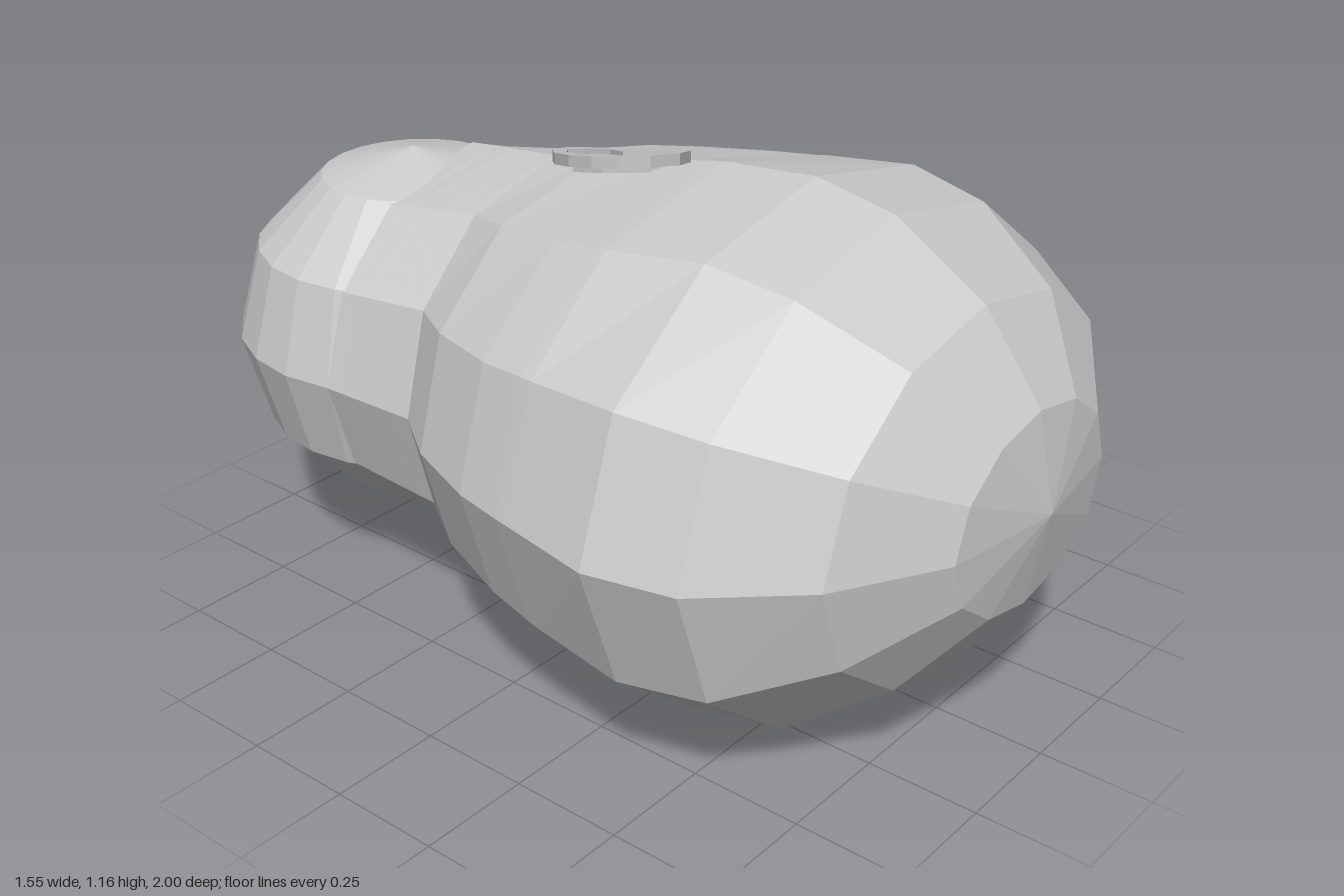
import * as THREE from 'three';
import { ConvexGeometry } from 'three/addons/geometries/ConvexGeometry.js';

const MID = 0.575; // height of the symmetry plane: the head lies on its side
const mat = new THREE.MeshStandardMaterial({ color: 0xcccccc, flatShading: true, side: THREE.DoubleSide });

function add(group, name, geometry) {
  const mesh = new THREE.Mesh(geometry, mat);
  mesh.name = name;
  group.add(mesh);
  return mesh;
}

// Half outline of the skull from back to face: [x, half width], unit sized
const SKULL = [[-1, 0], [-0.86, 0.51], [-0.49, 0.87], [0, 1], [0.5, 0.87], [0.86, 0.54], [0.93, 0.27], [1, 0]];

function skullRing(z, back, front, width) {
  const c = (back + front) / 2, r = (front - back) / 2;
  return SKULL.map(([x, h]) => [c + x * r, h * width, z]);
}

// Ring with a plain back and a shaped face (side, cheek, inner, middle)
function faceRing(z, back, width, ...face) {
  const plain = [[back, 0], [back * 0.89, width * 0.5], [back * 0.6, width * 0.86], [-0.08, width]];
  return [...plain, ...face].map(([x, h]) => [x, h, z]);
}

// Straight jaw sides from under the nose to the sloping jaw edge
const JAW_TOP = faceRing(-0.23, -0.55, 0.45, [0.23, 0.39], [0.45, 0.27]);
const JAW_EDGE = [[-0.56, 0, -0.52], [-0.5, 0.2, -0.52], [-0.34, 0.35, -0.52], [-0.04, 0.405, -0.52],
  [0.15, 0.31, -0.59], [0.33, 0.2, -0.655]];

// Ring across the jaw: only the inner and middle points follow the lips
function jawRing(z, inner, middle) {
  const t = (-0.23 - z) / 0.45;
  const sides = JAW_TOP.map((p, j) => p.map((v, k) => v + (JAW_EDGE[j][k] - v) * t));
  return [...sides, [...inner, z], [middle, 0, z]];
}

// Loft of mirrored half rings running from crown to chin
function headGeometry() {
  const rings = [
    skullRing(0.96, -0.33, 0.22, 0.21),
    skullRing(0.83, -0.56, 0.44, 0.39),
    skullRing(0.64, -0.735, 0.56, 0.53),
    skullRing(0.45, -0.78, 0.62, 0.56),
    faceRing(0.23, -0.74, 0.54, [0.28, 0.455], [0.51, 0.315], [0.59, 0.16], [0.63, 0]),
    faceRing(0.2, -0.735, 0.535, [0.278, 0.45], [0.485, 0.305], [0.515, 0.2], [0.6, 0]),
    faceRing(0.08, -0.71, 0.51, [0.27, 0.435], [0.475, 0.295], [0.535, 0.18], [0.59, 0]),
    faceRing(-0.1, -0.64, 0.48, [0.25, 0.41], [0.46, 0.285], [0.59, 0.13], [0.63, 0]),
    jawRing(-0.23, [0.6, 0.15], 0.66),
    // lips and chin
    jawRing(-0.3, [0.61, 0.17], 0.7),
    jawRing(-0.33, [0.595, 0.18], 0.645),
    jawRing(-0.38, [0.6, 0.17], 0.68),
    jawRing(-0.44, [0.585, 0.19], 0.645),
    jawRing(-0.54, [0.585, 0.18], 0.66),
    jawRing(-0.62, [0.57, 0.17], 0.645),
    jawRing(-0.68, [0.5, 0.13], 0.57),
  ];
  const n = 2 * SKULL.length - 2;
  const pos = [], idx = [];
  for (const ring of rings) {
    const loop = [...ring, ...ring.slice(1, -1).reverse().map(([x, h, z]) => [x, -h, z])];
    for (const [x, h, z] of loop) pos.push(x, MID + h, z);
  }
  const crown = pos.length / 3, throat = crown + 1, last = (rings.length - 1) * n;
  pos.push(-0.05, MID, 1, 0.29, MID, -0.665);
  for (let j = 0; j < n; j++) {
    const k = (j + 1) % n;
    idx.push(crown, k, j, throat, last + j, last + k);
    for (let i = 0; i < rings.length - 1; i++) {
      const a = i * n + j, b = i * n + k;
      idx.push(a, b, a + n, b, b + n, a + n);
    }
  }
  const g = new THREE.BufferGeometry();
  g.setAttribute('position', new THREE.Float32BufferAttribute(pos, 3));
  g.setIndex(idx);
  g.computeVertexNormals();
  return g;
}

// Solid hull of points [x, half width, z], each mirrored across the middle
function mirroredHull(points) {
  return new ConvexGeometry(points.flatMap(([x, h, z]) =>
    [new THREE.Vector3(x, MID + h, z), new THREE.Vector3(x, MID - h, z)]));
}

// Flat ear piece drawn in x, z and leaning away from the skull
function earPiece(outline, hole, depth, lift) {
  const toV = (p) => new THREE.Vector2(p[0], p[1]);
  const shape = new THREE.Shape(outline.map(toV));
  if (hole) shape.holes.push(new THREE.Path(hole.map(toV)));
  const g = new THREE.ExtrudeGeometry(shape, { depth, bevelEnabled: false });
  g.rotateX(Math.PI / 2);
  const p = g.attributes.position;
  for (let i = 0; i < p.count; i++) {
    p.setY(i, p.getY(i) + lift + 0.5 + 0.2 * p.getZ(i) - 0.2 * p.getX(i));
  }
  g.computeVertexNormals();
  return g;
}

// Ear and eye of one side, built above the symmetry plane
function sideParts() {
  const side = new THREE.Group();
  const outer = [[-0.1, -0.185], [-0.16, -0.165], [-0.235, -0.09], [-0.28, -0.01], [-0.29, 0.06], [-0.275, 0.12],
    [-0.235, 0.165], [-0.165, 0.182], [-0.09, 0.15], [-0.05, 0.075], [-0.085, 0.01], [-0.08, -0.09], [-0.08, -0.165]];
  const inner = [[-0.11, -0.12], [-0.15, -0.13], [-0.21, -0.08], [-0.255, 0], [-0.265, 0.06], [-0.25, 0.115],
    [-0.22, 0.145], [-0.165, 0.158], [-0.115, 0.13], [-0.13, 0.08], [-0.16, 0.03], [-0.12, -0.04]];
  add(side, 'earRim', earPiece(outer, inner, 0.025, 0));
  add(side, 'earFold', earPiece([[-0.19, -0.08], [-0.19, 0], [-0.15, 0.07], [-0.1, 0.1], [-0.08, 0.06], [-0.14, 0.01],
    [-0.12, -0.08]], null, 0.035, -0.01));

  const eye = add(side, 'eye', new THREE.SphereGeometry(0.03, 10, 8));
  eye.position.set(0.515, 0.225, 0.165);
  const lid = add(side, 'eyelid', new THREE.TorusGeometry(0.05, 0.01, 4, 8).scale(0.7, 1.5, 1).rotateY(Math.PI / 2));
  lid.rotation.z = 0.3;
  lid.position.set(0.512, 0.225, 0.16);
  return side;
}

export function createModel() {
  const model = new THREE.Group();
  model.name = 'head';

  add(model, 'skullAndFace', headGeometry());

  // rounded neck stump
  const neck = add(model, 'neckStump', new THREE.SphereGeometry(0.415, 22, 6));
  neck.position.set(-0.16, MID, -0.585);

  // nose
  add(model, 'noseBridge', mirroredHull([[0.57, 0.03, 0.2], [0.62, 0.02, 0.1], [0.56, 0.07, 0.02],
    [0.775, 0.033, -0.09], [0.775, 0.033, -0.14], [0.6, 0.08, -0.12]]));
  add(model, 'noseTip', mirroredHull([[0.775, 0.035, -0.09], [0.775, 0.035, -0.15], [0.63, 0.12, -0.08],
    [0.63, 0.12, -0.15], [0.7, 0.05, -0.18], [0.62, 0.07, -0.19], [0.6, 0.07, 0]]));

  // ears and eyes on both sides
  for (const s of [1, -1]) {
    const side = sideParts();
    side.name = s > 0 ? 'upperSide' : 'lowerSide';
    side.position.y = MID;
    side.scale.y = s;
    model.add(side);
  }
  return model;
}
